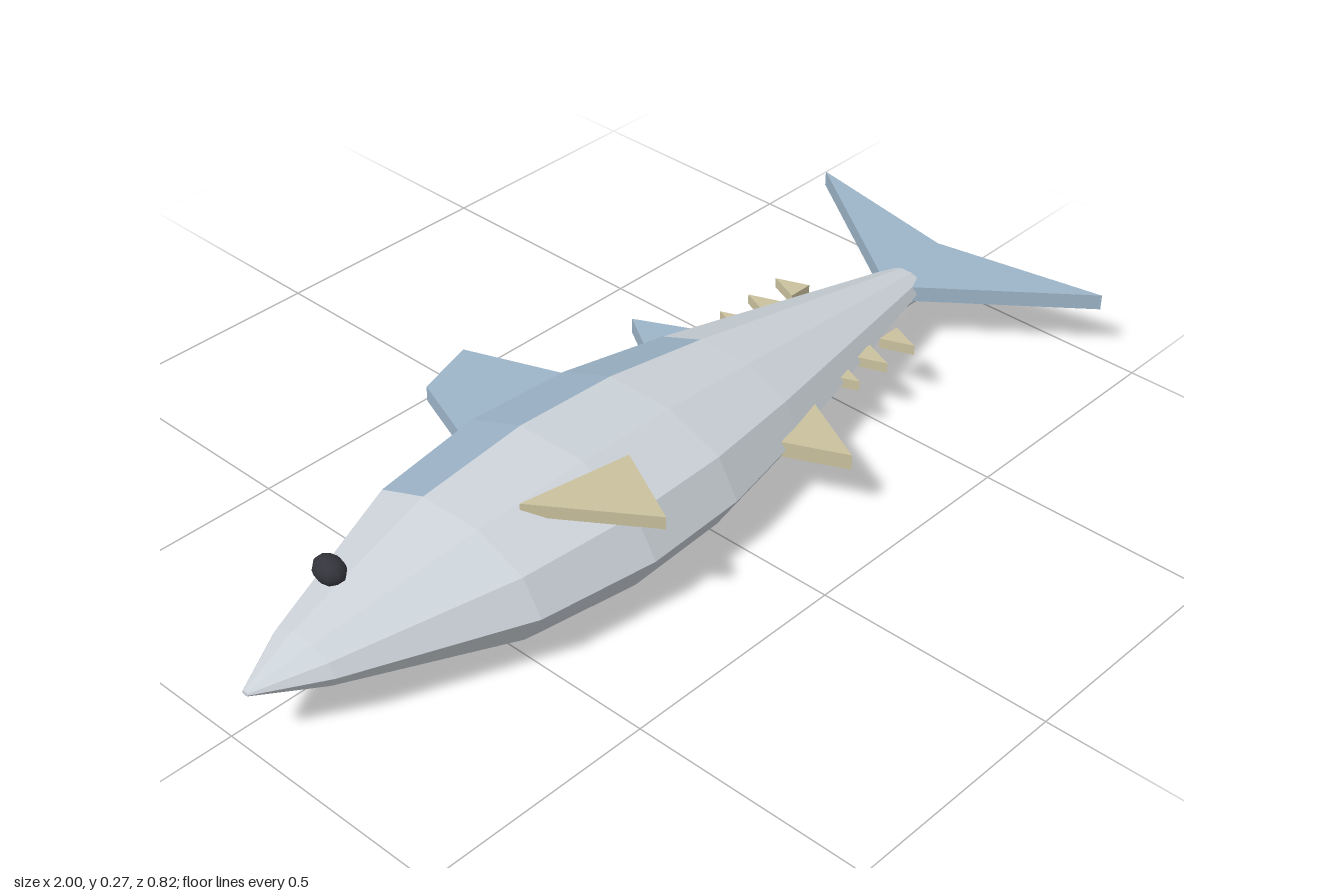
import * as THREE from 'three';

const material = (name, color) => {
  const m = new THREE.MeshStandardMaterial({ color });
  m.name = name;
  return m;
};

export function createModel() {
  const silver = material('silver skin', 0xccd3d9);
  const blue = material('blue back', 0x9db5c9);
  const cream = material('cream fin', 0xcbc19e);
  const black = material('dark eye', 0x34343c);
  const group = new THREE.Group();
  const MID = 0.133; // height of the fish's middle plane

  const add = (name, geometry, mat) => {
    const mesh = new THREE.Mesh(geometry, mat);
    mesh.name = name;
    group.add(mesh);
    return mesh;
  };

  // Body: ten-sided elliptical rings along x, [x, half width in z]
  const rings = [[-1, 0.008], [-0.87, 0.083], [-0.52, 0.227], [-0.265, 0.262],
    [-0.03, 0.25], [0.21, 0.2], [0.79, 0.045]];
  const SIDES = 10, ZC = 0.055;
  const point = (i, j) => {
    const a = (j / SIDES) * Math.PI * 2, [x, r] = rings[i];
    return [x, MID + 0.532 * r * Math.sin(a), ZC + r * Math.cos(a)];
  };
  const skin = { silver: [], blue: [] };
  const last = rings.length - 1;
  for (let i = 0; i < last; i++) {
    for (let j = 0; j < SIDES; j++) {
      // the back strip is blue behind the head; the flank beside it only amidships
      const strip = (j === 4 || j === 5) && i > 0;
      const flank = (j === 3 || j === 6) && i >= 2 && i <= 4;
      const a = point(i, j), b = point(i + 1, j), c = point(i + 1, j + 1), d = point(i, j + 1);
      skin[strip || flank ? 'blue' : 'silver'].push(...a, ...b, ...c, ...a, ...c, ...d);
    }
  }
  // Flat ends of the snout and tail stem
  for (let j = 0; j < SIDES; j++) {
    skin.silver.push(rings[last][0], MID, ZC, ...point(last, j + 1), ...point(last, j));
    skin.silver.push(rings[0][0], MID, ZC, ...point(0, j), ...point(0, j + 1));
  }
  const bodyGeometry = new THREE.BufferGeometry();
  const positions = [...skin.silver, ...skin.blue];
  bodyGeometry.setAttribute('position', new THREE.Float32BufferAttribute(positions, 3));
  bodyGeometry.addGroup(0, skin.silver.length / 3, 0);
  bodyGeometry.addGroup(skin.silver.length / 3, skin.blue.length / 3, 1);
  bodyGeometry.computeVertexNormals();
  add('body', bodyGeometry, [silver, blue]);

  // Fins: flat outlines in x and z, given a thickness in y
  const fin = (name, outline, mat, thickness = 0.034, y = MID) => {
    const shape = new THREE.Shape(outline.map(([x, z]) => new THREE.Vector2(x, z)));
    const g = new THREE.ExtrudeGeometry(shape, { depth: thickness, bevelEnabled: false });
    g.translate(0, 0, -thickness / 2);
    g.rotateX(Math.PI / 2);
    g.translate(0, y, 0);
    add(name, g, mat);
  };
  fin('tailFin', [[0.755, 0.01], [1, -0.34], [0.93, 0.03], [1, 0.405], [0.755, 0.1]], blue);
  fin('firstDorsalFin', [[-0.255, -0.2], [-0.19, -0.37], [-0.05, -0.412], [0.035, -0.19]], blue);
  fin('secondDorsalFin', [[0.2, -0.14], [0.265, -0.243], [0.33, -0.115]], blue);
  fin('analFin', [[0.14, 0.235], [0.21, 0.383], [0.295, 0.215]], cream);
  fin('pectoralFin', [[-0.43, 0.14], [-0.28, 0.355], [-0.19, 0.18]], cream, 0.027, 0.25);

  // Rows of small finlets above and below the tail stem
  for (const x of [0.417, 0.505, 0.592]) {
    fin('upperFinlet', [[x - 0.028, -0.068], [x, -0.137], [x + 0.028, -0.068]], cream, 0.022);
    fin('lowerFinlet', [[x - 0.028, 0.165], [x, 0.233], [x + 0.028, 0.165]], cream, 0.022);
  }

  // Eye
  const eyeGeometry = new THREE.SphereGeometry(1, 10, 8);
  const eye = add('eye', eyeGeometry, black);
  eye.scale.set(0.028, 0.028, 0.036);
  eye.position.set(-0.745, 0.213, -0.014);

  return group;
}
